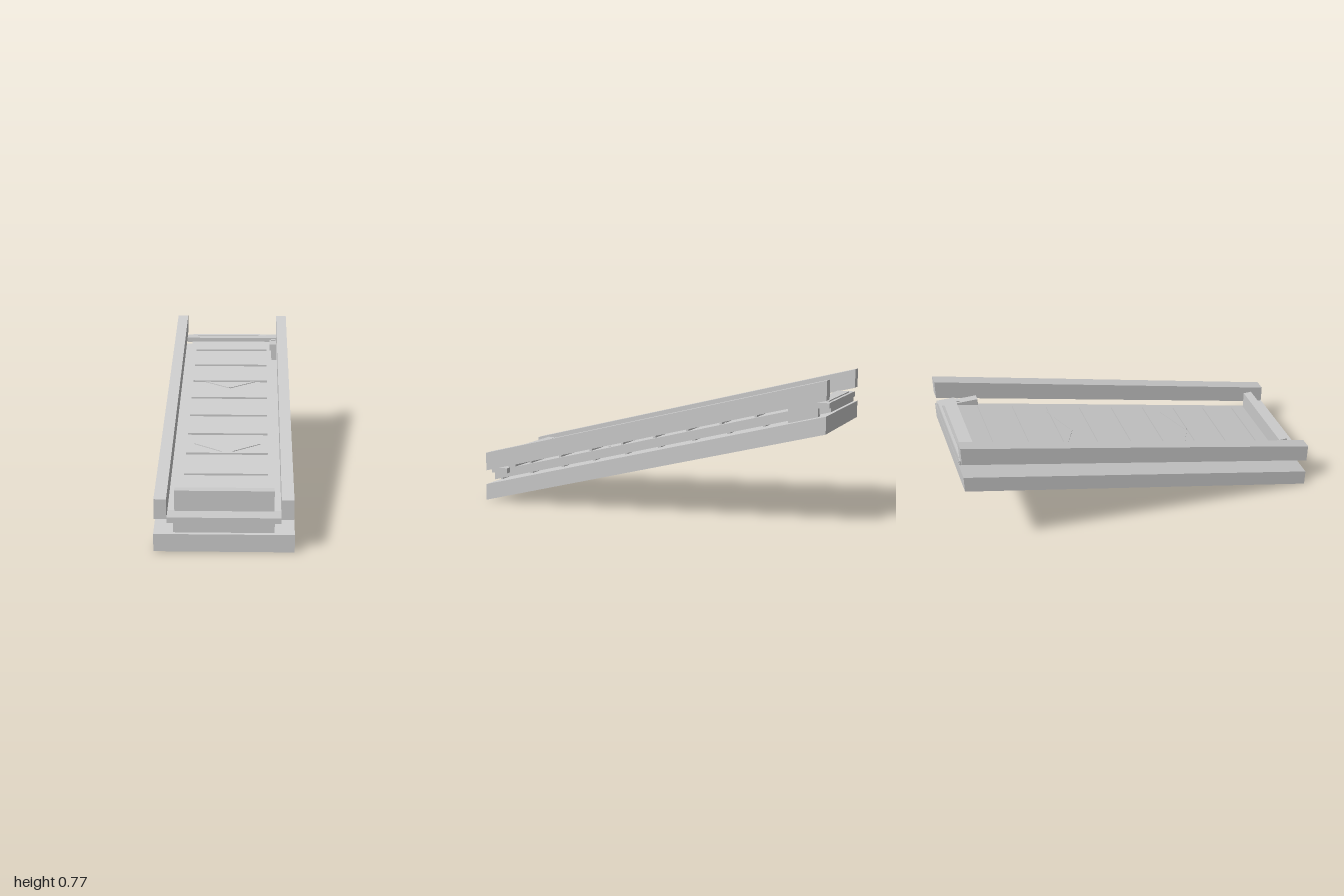
import * as THREE from 'three';

const SLOPE = 0.25;
const rise = (z) => SLOPE * (1 - z); // height of the incline at a given z

export function createModel() {
  const model = new THREE.Group();
  model.name = 'inclinedConveyor';
  const material = new THREE.MeshStandardMaterial({ color: 0xcccccc, flatShading: true });

  // Level box given by its limits
  function block(name, x0, x1, y0, y1, z0, z1) {
    const geometry = new THREE.BoxGeometry(x1 - x0, y1 - y0, z1 - z0);
    geometry.translate((x0 + x1) / 2, (y0 + y1) / 2, (z0 + z1) / 2);
    const mesh = new THREE.Mesh(geometry, material);
    mesh.name = name;
    model.add(mesh);
    return mesh;
  }

  // Shear a geometry so it follows the incline, keeping upright ends
  function incline(geometry) {
    const p = geometry.attributes.position;
    for (let i = 0; i < p.count; i++) p.setY(i, p.getY(i) + rise(p.getZ(i)));
    geometry.computeVertexNormals();
  }

  function slopedBlock(name, ...limits) {
    const mesh = block(name, ...limits);
    incline(mesh.geometry);
    return mesh;
  }

  // Base slab, belt and side rails
  slopedBlock('baseSlab', -0.35, 0.35, 0, 0.092, -1, 1);
  slopedBlock('belt', -0.25, 0.25, 0.102, 0.153, -1, 1);
  slopedBlock('leftRail', 0.283, 0.345, 0.172, 0.275, -1, 1);
  slopedBlock('rightRail', -0.345, -0.283, 0.172, 0.275, -1, 1);

  // Cleats across the top of the belt
  for (let i = -5; i <= 5; i++) {
    const z = i * 0.195;
    slopedBlock('beltCleat', -0.22, 0.22, 0.151, 0.163, z - 0.007, z + 0.007);
  }

  // Slim cleats on the underside of the belt
  for (let i = 0; i < 10; i++) {
    const z = 0.96 - i * 0.2;
    slopedBlock('undersideCleat', -0.24, 0.24, 0.095, 0.104, z - 0.008, z + 0.008);
  }

  // Chevron arrows: two thin bars meeting in a point
  function chevron(tipZ) {
    for (const side of [-1, 1]) {
      const geometry = new THREE.BoxGeometry(0.2, 0.007, 0.012);
      geometry.translate(0.1, 0.1535, 0);
      geometry.rotateY(0.46);
      if (side < 0) geometry.rotateY(Math.PI - 0.92);
      geometry.translate(0, 0, tipZ);
      incline(geometry);
      const mesh = new THREE.Mesh(geometry, material);
      mesh.name = 'chevronBar';
      model.add(mesh);
    }
  }
  chevron(-0.315);
  chevron(0.378);

  // Level end crossbars and the stop plate at the low end
  block('frontCrossbar', -0.283, 0.283, 0.15, 0.18, 0.9, 1);
  block('rearCrossbar', -0.283, 0.283, 0.624, 0.652, -1, -0.9);
  block('stopPlate', -0.25, 0.25, 0.178, 0.287, 0.862, 0.91);

  // Drive unit beside the belt at the high end
  block('driveHousing', 0.24, 0.281, 0.537, 0.639, -0.94, -0.78);
  block('driveCap', 0.25, 0.28, 0.638, 0.645, -0.94, -0.88);

  return model;
}
